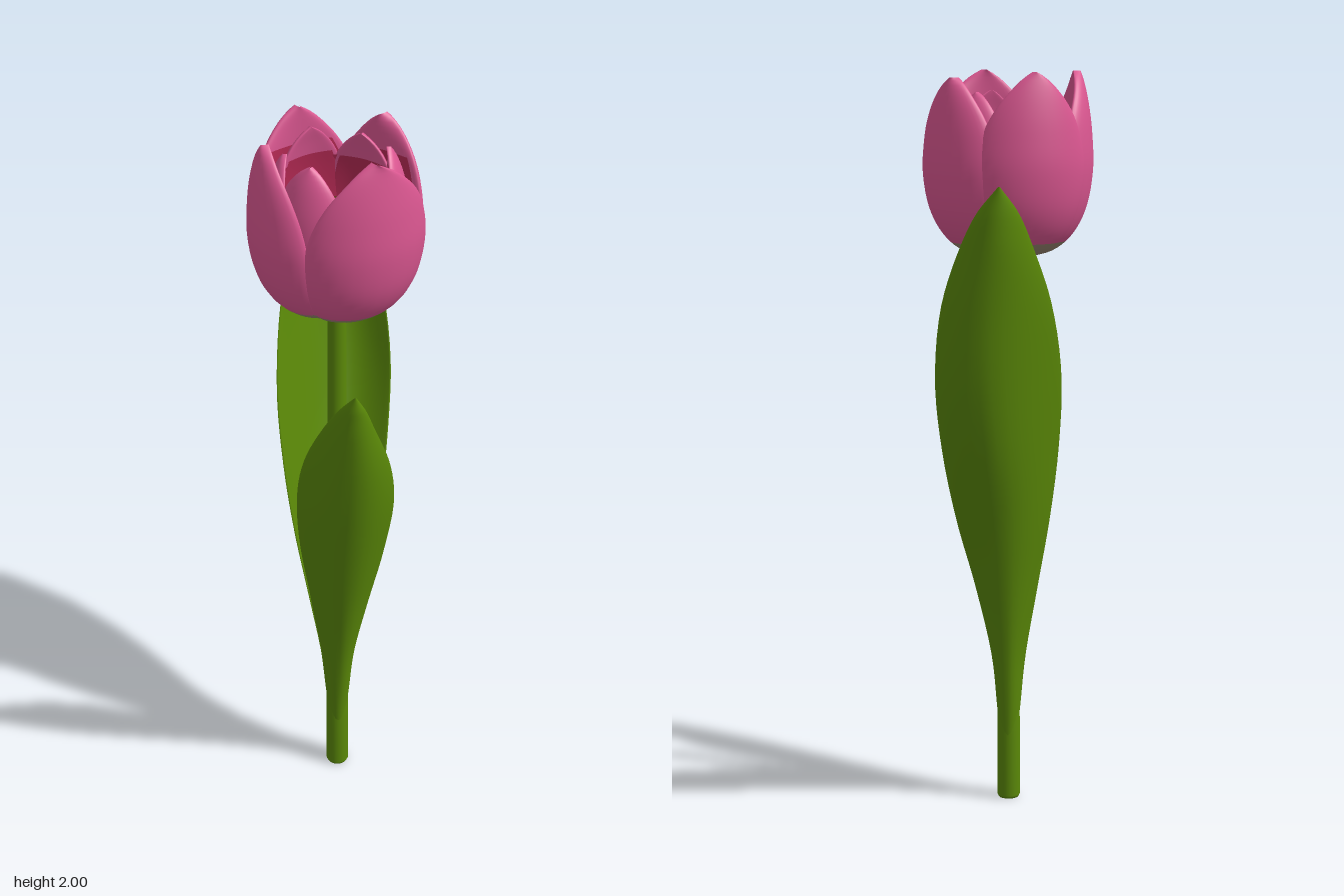
import * as THREE from 'three';

const paint = (name, color) => {
  const m = new THREE.MeshStandardMaterial({ color });
  m.name = name;
  return m;
};

// Lofts closed loops into a skin; zone(t, theta) picks the material group of each quad.
function loft(rows, n, point, zone = () => 0) {
  const pos = [], lists = [[], [], []];
  for (let i = 0; i <= rows; i++) {
    for (let j = 0; j < n; j++) pos.push(...point(i / rows, (j / n) * Math.PI * 2));
  }
  for (let i = 0; i < rows; i++) {
    for (let j = 0; j < n; j++) {
      const a = i * n + j, b = i * n + ((j + 1) % n), c = a + n, d = b + n;
      lists[zone((i + 0.5) / rows, ((j + 0.5) / n) * Math.PI * 2)].push(a, c, b, b, c, d);
    }
  }
  const g = new THREE.BufferGeometry();
  g.setAttribute('position', new THREE.Float32BufferAttribute(pos, 3));
  g.setIndex(lists.flat());
  let start = 0;
  lists.forEach((l, k) => {
    if (l.length) g.addGroup(start, l.length, k);
    start += l.length;
  });
  g.computeVertexNormals();
  return g;
}

const profileCurve = (pts) => new THREE.SplineCurve(pts.map((p) => new THREE.Vector2(...p)));

// Cupped petal: an elliptical section bent around the flower's axis, narrowing to the tip.
// Its outside is crimson below redBelow.
function petalGeometry({ profile, angle, half, thick, taper, tuck = 0, skew = 0, height = 0, redBelow = 0 }) {
  const start = profile.getPoint(0).y;
  const point = (t, th) => {
    const p = profile.getPoint(t);
    const s = Math.max(0, (t - 0.5) / 0.5);
    const w = half * Math.min(1, 0.85 + t) * Math.max(0.02, 1 - Math.pow(s, taper));
    const u = -Math.cos(th);
    const puff = thick * (1 - 0.7 * Math.pow(t, 6)) * Math.min(1, 0.3 + 4 * t);
    const r = (p.x - thick) * (1 - tuck * u * u + skew * u) + puff * Math.sin(th);
    const a = THREE.MathUtils.degToRad(angle + w * u);
    const y = p.y + height * (p.y - start) * 2;
    return [r * Math.cos(a), y, r * Math.sin(a) * 0.96];
  };
  // 0 outside and rim, 1 inside, 2 pale base
  const zone = (t, th) => {
    const y = profile.getPoint(t).y;
    if (y < 1.55) return 2;
    return y < redBelow || (Math.sin(th) < -0.45 && t < 0.8) ? 1 : 0;
  };
  return loft(36, 36, point, zone);
}

// Leaf rows: y, left margin x z, midrib x z, right margin x z.
function leafGeometry(rows, side) {
  const rail = (k) => new THREE.CatmullRomCurve3(rows.map((r) => new THREE.Vector3(r[k], r[0], r[k + 1])));
  const [left, mid, right] = [rail(1), rail(3), rail(5)];
  return loft(44, 32, (t, th) => {
    const L = left.getPoint(t), M = mid.getPoint(t), R = right.getPoint(t);
    const u = -Math.cos(th) * side;
    const slope = R.clone().sub(L).multiplyScalar(0.5);
    const bend = R.clone().add(L).multiplyScalar(0.5).sub(M);
    const p = M.clone().addScaledVector(slope, u).addScaledVector(bend, u * u);
    const d = slope.addScaledVector(bend, 2 * u).multiplyScalar(side);
    const len = Math.hypot(d.x, d.z) || 1;
    const off = 0.009 * Math.sin(th) * Math.min(1, (1 - t) * 8 + 0.15);
    return [p.x + (d.z / len) * off, p.y, p.z - (d.x / len) * off];
  });
}

export function createModel() {
  const model = new THREE.Group();
  model.name = 'tulip';
  const green = paint('leaf green', 0x5a8808);
  const pink = paint('petal pink', 0xdb5791);
  const crimson = paint('inner crimson', 0xb52a54);
  crimson.side = THREE.DoubleSide;
  const brown = paint('heart brown', 0x733d20);
  brown.side = THREE.DoubleSide;
  const taupe = paint('petal base taupe', 0x988570);

  const add = (parent, name, geometry, material) => {
    const mesh = new THREE.Mesh(geometry, material);
    mesh.name = name;
    parent.add(mesh);
    return mesh;
  };

  // Stem with a softened foot, leaning slightly back
  const stemProfile = [[0, 0], [0.027, 0], [0.031, 0.008], [0.031, 0.22], [0.027, 0.8], [0.024, 1.52]];
  const stem = add(model, 'stem', new THREE.LatheGeometry(stemProfile.map((p) => new THREE.Vector2(...p)), 28), green);
  stem.position.z = 0.08;
  stem.rotation.x = -0.011;

  // Leaves growing out of the stem
  const backRows = [
    [0.15, -0.018, 0.08, 0, 0.06, 0.018, 0.08],
    [0.25, -0.03, 0.08, 0, 0.047, 0.03, 0.08],
    [0.4, -0.045, 0.09, 0, 0.02, 0.045, 0.075],
    [0.6, -0.08, 0.075, 0, -0.033, 0.085, 0.03],
    [0.8, -0.115, 0.05, 0, -0.1, 0.13, -0.045],
    [1.0, -0.14, 0.02, 0.01, -0.185, 0.16, -0.125],
    [1.2, -0.15, -0.04, 0.02, -0.255, 0.172, -0.19],
    [1.4, -0.13, -0.14, 0.015, -0.305, 0.15, -0.25],
    [1.55, -0.09, -0.23, 0, -0.335, 0.1, -0.3],
    [1.65, -0.055, -0.3, -0.003, -0.352, 0.05, -0.335],
    [1.72, -0.012, -0.364, -0.01, -0.365, -0.008, -0.364],
  ];
  const frontRows = [
    [0.15, -0.018, 0.08, 0, 0.098, 0.018, 0.08],
    [0.25, -0.03, 0.08, 0, 0.112, 0.03, 0.08],
    [0.4, -0.045, 0.075, 0, 0.143, 0.045, 0.085],
    [0.6, -0.075, 0.085, 0, 0.192, 0.08, 0.12],
    [0.8, -0.105, 0.1, 0, 0.243, 0.115, 0.165],
    [1.0, -0.115, 0.155, 0.005, 0.293, 0.135, 0.215],
    [1.15, -0.1, 0.215, 0.01, 0.325, 0.118, 0.26],
    [1.3, -0.055, 0.29, 0.01, 0.35, 0.07, 0.315],
    [1.38, -0.02, 0.335, 0.013, 0.358, 0.042, 0.345],
    [1.43, 0.013, 0.364, 0.015, 0.365, 0.017, 0.364],
  ];
  add(model, 'backLeaf', leafGeometry(backRows, 1), green);
  add(model, 'frontLeaf', leafGeometry(frontRows, -1), green);

  // Flower head
  const flower = new THREE.Group();
  flower.name = 'flower';
  flower.position.z = 0.05;
  model.add(flower);
  const skins = [pink, crimson, taupe];

  const outer = profileCurve([[0.03, 1.505], [0.11, 1.52], [0.17, 1.565], [0.21, 1.64],
    [0.228, 1.74], [0.227, 1.84], [0.22, 1.93], [0.212, 2.0]]);
  const outerPetals = [
    { angle: 66, half: 55, tuck: -0.01, skew: -0.06 },
    { angle: 168, half: 52, tuck: 0.06 },
    { angle: 244, half: 50, skew: -0.03 },
    { angle: 314, half: 44, skew: 0.06, height: -0.015 },
  ];
  outerPetals.forEach((o, i) => add(flower, `outerPetal${i + 1}`,
    petalGeometry({ profile: outer, thick: 0.025, taper: 2.1, ...o }), skins));

  const inner = profileCurve([[0.03, 1.515], [0.09, 1.535], [0.135, 1.58], [0.168, 1.65],
    [0.184, 1.74], [0.181, 1.83], [0.165, 1.91], [0.146, 1.965]]);
  for (let i = 0; i < 6; i++) {
    add(flower, `innerPetal${i + 1}`, petalGeometry({ profile: inner, thick: 0.018, taper: 3.2, angle: 5 + 60 * i,
      half: 38, tuck: 0.03, height: i % 2 ? -0.02 : 0, redBelow: 1.68 }), skins);
  }

  // Cup inside the petals and the brown heart
  const lathe = (pts) => new THREE.LatheGeometry(profileCurve(pts).getPoints(20), 40).scale(1, 1, 0.96);
  add(flower, 'innerCup', lathe([[0.12, 1.58], [0.145, 1.65], [0.156, 1.74], [0.152, 1.83], [0.145, 1.87]]), crimson);
  add(flower, 'heart', lathe([[0, 1.575], [0.06, 1.59], [0.11, 1.64], [0.146, 1.75]]), brown);
  add(flower, 'flowerBase', lathe([[0, 1.5], [0.05, 1.505], [0.11, 1.53], [0.14, 1.555]]), taupe);
  return model;
}
